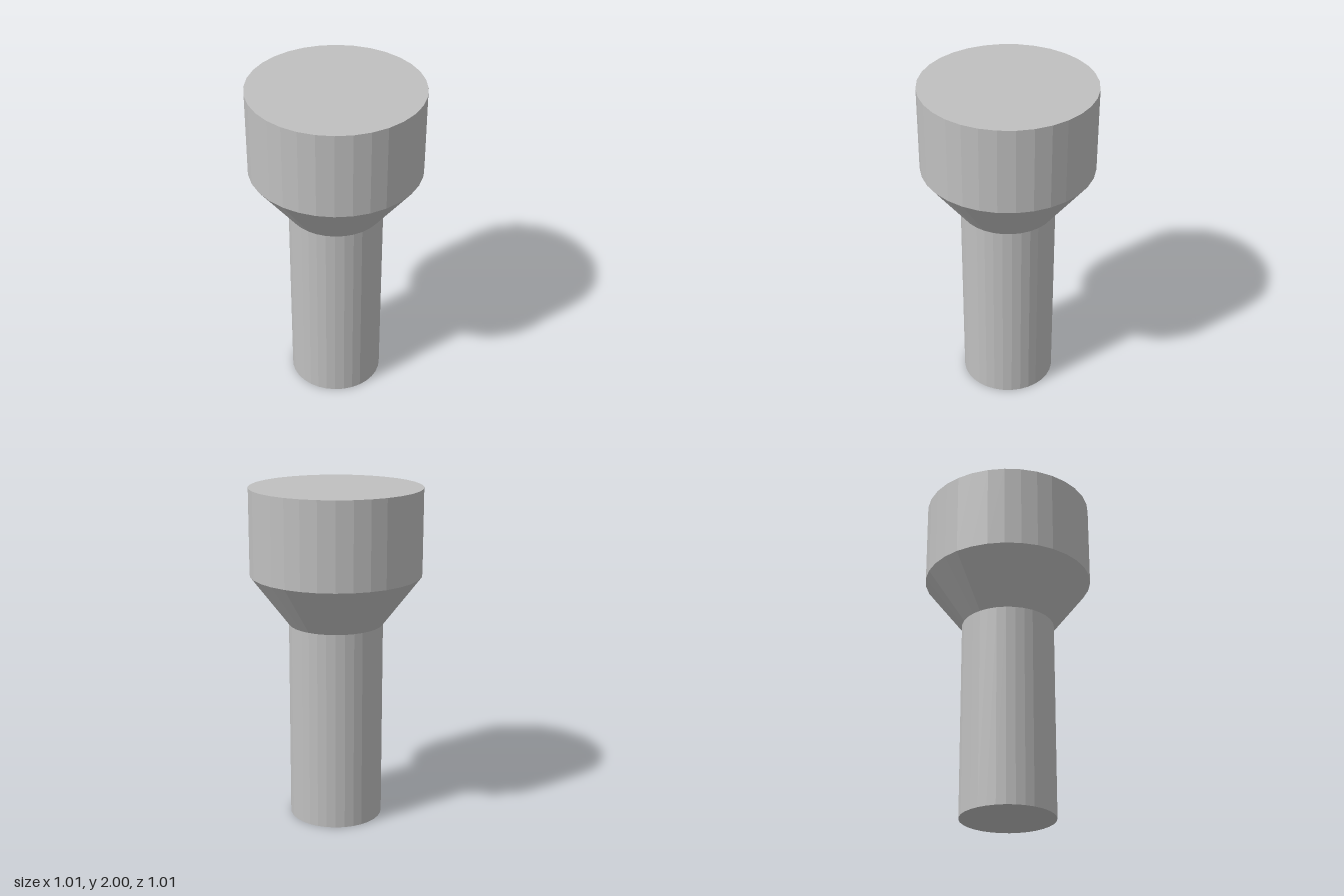
import * as THREE from 'three';

const SIDES = 32;

export function createModel() {
  const model = new THREE.Group();
  model.name = 'steppedPin';
  const grey = new THREE.MeshStandardMaterial({ color: 0xc0c0c0 });
  grey.name = 'plain grey';

  // Faceted round section between two heights
  function section(name, bottomRadius, topRadius, y0, y1, open) {
    let geometry = new THREE.CylinderGeometry(topRadius, bottomRadius, y1 - y0, SIDES, 1, open);
    geometry = geometry.toNonIndexed();
    geometry.computeVertexNormals(); // flat facets
    const mesh = new THREE.Mesh(geometry, grey);
    mesh.name = name;
    mesh.position.y = (y0 + y1) / 2;
    model.add(mesh);
    return mesh;
  }

  // Closed end disc, facing up or down
  function endCap(name, radius, y, direction) {
    const mesh = new THREE.Mesh(new THREE.CircleGeometry(radius, SIDES), grey);
    mesh.name = name;
    mesh.rotation.x = -direction * Math.PI / 2;
    mesh.position.y = y;
    model.add(mesh);
  }

  section('shank', 0.278, 0.278, 0, 1.196, true);
  section('taperedShoulder', 0.278, 0.505, 1.196, 1.493, true);
  section('head', 0.505, 0.505, 1.493, 2, true);
  endCap('shankEnd', 0.278, 0, -1);
  endCap('headTop', 0.505, 2, 1);

  return model;
}
